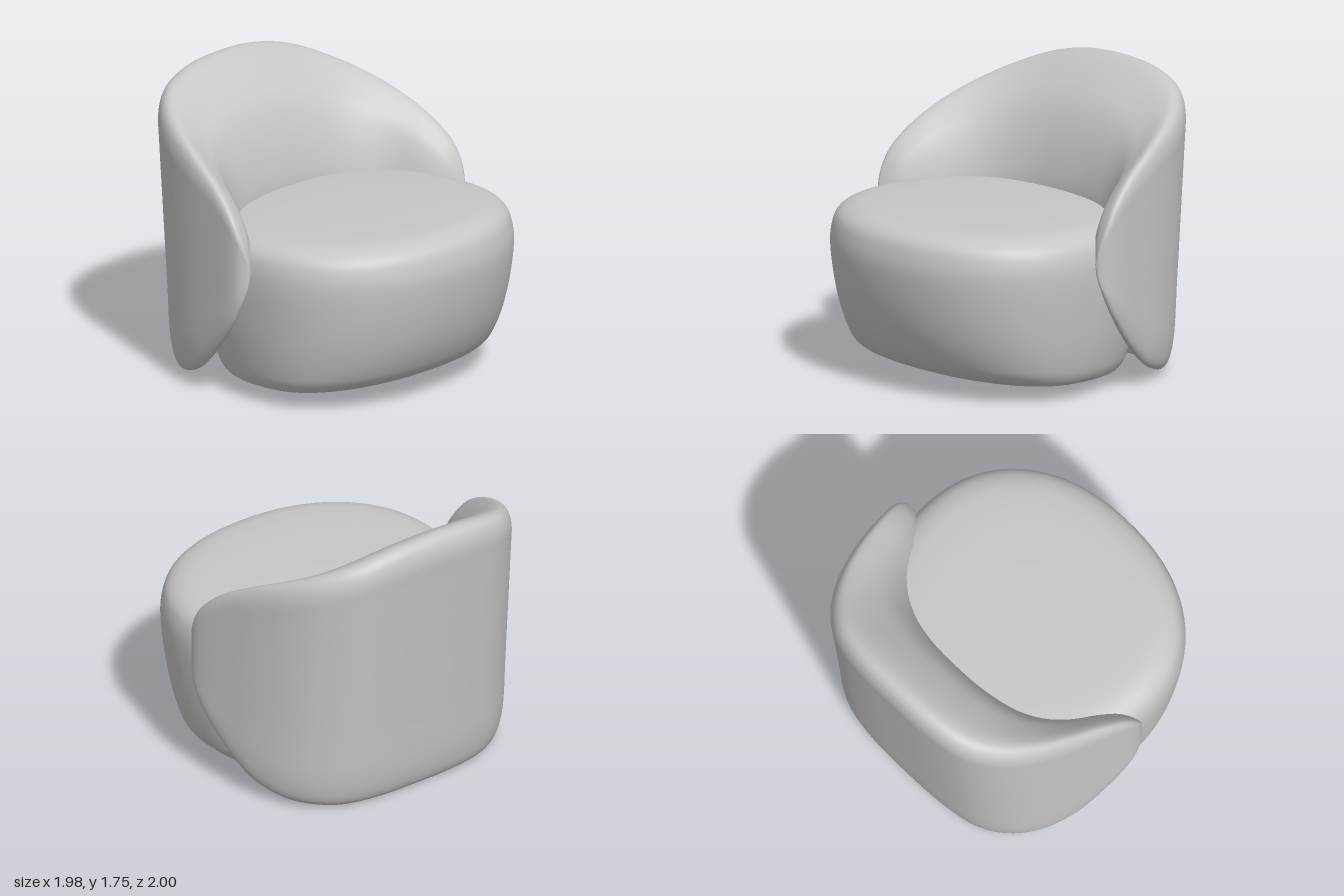
import * as THREE from 'three';

// Smooth surface from point(i / rows, j / cols); closed in the j direction
function loft(rows, cols, point) {
  const pos = [], index = [];
  for (let i = 0; i <= rows; i++)
    for (let j = 0; j < cols; j++) pos.push(...point(i / rows, j / cols));
  for (let i = 0; i < rows; i++)
    for (let j = 0; j < cols; j++) {
      const k = (j + 1) % cols;
      const a = i * cols + j, b = a + cols, c = i * cols + k, d = c + cols;
      index.push(a, b, c, b, d, c);
    }
  const geo = new THREE.BufferGeometry();
  geo.setAttribute('position', new THREE.Float32BufferAttribute(pos, 3));
  geo.setIndex(index);
  geo.computeVertexNormals();
  return geo;
}

const spline = (pts, closed = false) =>
  new THREE.CatmullRomCurve3(pts.map(p => new THREE.Vector3(...p)), closed, 'catmullrom', 0.5);

// Rounded cushion: stacked superellipse rings that lean forward as they rise
function seatGeometry() {
  // half width, height, front z
  const profile = spline([
    [0, 0.065, 0.2], [0.4, 0.065, 0.45], [0.7, 0.065, 0.6], [0.8, 0.082, 0.69], [0.845, 0.13, 0.785],
    [0.872, 0.21, 0.85], [0.9, 0.36, 0.92], [0.922, 0.55, 0.972], [0.935, 0.75, 1.0],
    [0.925, 0.87, 0.988], [0.89, 0.95, 0.955], [0.81, 1.0, 0.88], [0.68, 1.021, 0.76],
    [0.4, 1.03, 0.5], [0, 1.032, 0.2],
  ]);
  const zc = 0.2, power = 2 / 2.2;
  const bend = v => Math.sign(v) * Math.abs(v) ** power;
  return loft(90, 96, (u, v) => {
    const p = profile.getPoint(u), a = v * Math.PI * 2;
    const c = bend(Math.cos(a));
    const z = zc + c * (c > 0 ? p.z - zc : p.x * 0.94);
    return [-bend(Math.sin(a)) * p.x, p.y + 0.05 * z * (1 - 0.6 * p.y), z];
  });
}

// Wrap-around back: one cross-section swept from the left tip to the right tip
function backGeometry() {
  // outer x, outer z, inner x, inner z, top y, bottom y
  const half = [
    [0.935, 0.15, 0.93, 0.15, 0.83, 0.82],
    [0.96, 0.14, 0.91, 0.135, 0.93, 0.72],
    [0.988, 0.09, 0.875, 0.11, 1.06, 0.6],
    [0.988, 0, 0.82, 0.06, 1.19, 0.46],
    [0.958, -0.17, 0.755, -0.03, 1.32, 0.29],
    [0.905, -0.4, 0.68, -0.15, 1.44, 0.13],
    [0.815, -0.64, 0.6, -0.24, 1.54, 0.05],
    [0.69, -0.82, 0.5, -0.315, 1.62, 0.02],
    [0.52, -0.94, 0.38, -0.37, 1.69, 0.005],
    [0.28, -0.99, 0.2, -0.41, 1.74, 0],
  ];
  const mirrored = half.map(([a, b, c, ...rest]) => [-a, b, -c, ...rest]).reverse();
  const stations = [...half, [0, -1, 0, -0.42, 1.755, 0], ...mirrored];
  const outer = spline(stations.map(s => [s[0], 0, s[1]]));
  const inner = spline(stations.map(s => [s[2], 0, s[3]]));
  const heights = spline(stations.map(s => [s[4], s[5], 0]));
  // inward fraction, height fraction
  const section = spline([
    [0, 0.13], [0, 0.3], [0, 0.5], [0, 0.7], [0, 0.85], [0.005, 0.93], [0.06, 0.982], [0.16, 1],
    [0.3, 0.982], [0.5, 0.93], [0.68, 0.87], [0.82, 0.79], [0.94, 0.68], [1, 0.56],
    [0.92, 0.4], [0.66, 0.22], [0.4, 0.08], [0.26, 0.015], [0.15, 0], [0.05, 0.035],
  ].map(([d, t]) => [d, t, 0]), true);
  return loft(120, 100, (u, v) => {
    const o = outer.getPoint(u), n = inner.getPoint(u), h = heights.getPoint(u);
    const s = section.getPoint(v);
    const y = h.y + (h.x - h.y) * s.y;
    // the rear wall tucks in toward the floor
    const lean = 0.09 * (1.62 - y) * Math.min(1, Math.max(0, -o.z)) * (1 - s.x);
    return [o.x + (n.x - o.x) * s.x, Math.max(0, y), o.z + (n.z - o.z) * s.x + lean];
  });
}

export function createModel() {
  const group = new THREE.Group();
  group.name = 'tubArmchair';
  const fabric = new THREE.MeshStandardMaterial({ color: 0xc6c6c6 });
  fabric.name = 'light grey fabric';

  const seat = new THREE.Mesh(seatGeometry(), fabric);
  seat.name = 'seatCushion';
  const back = new THREE.Mesh(backGeometry(), fabric);
  back.name = 'wraparoundBack';
  group.add(seat, back);
  return group;
}
